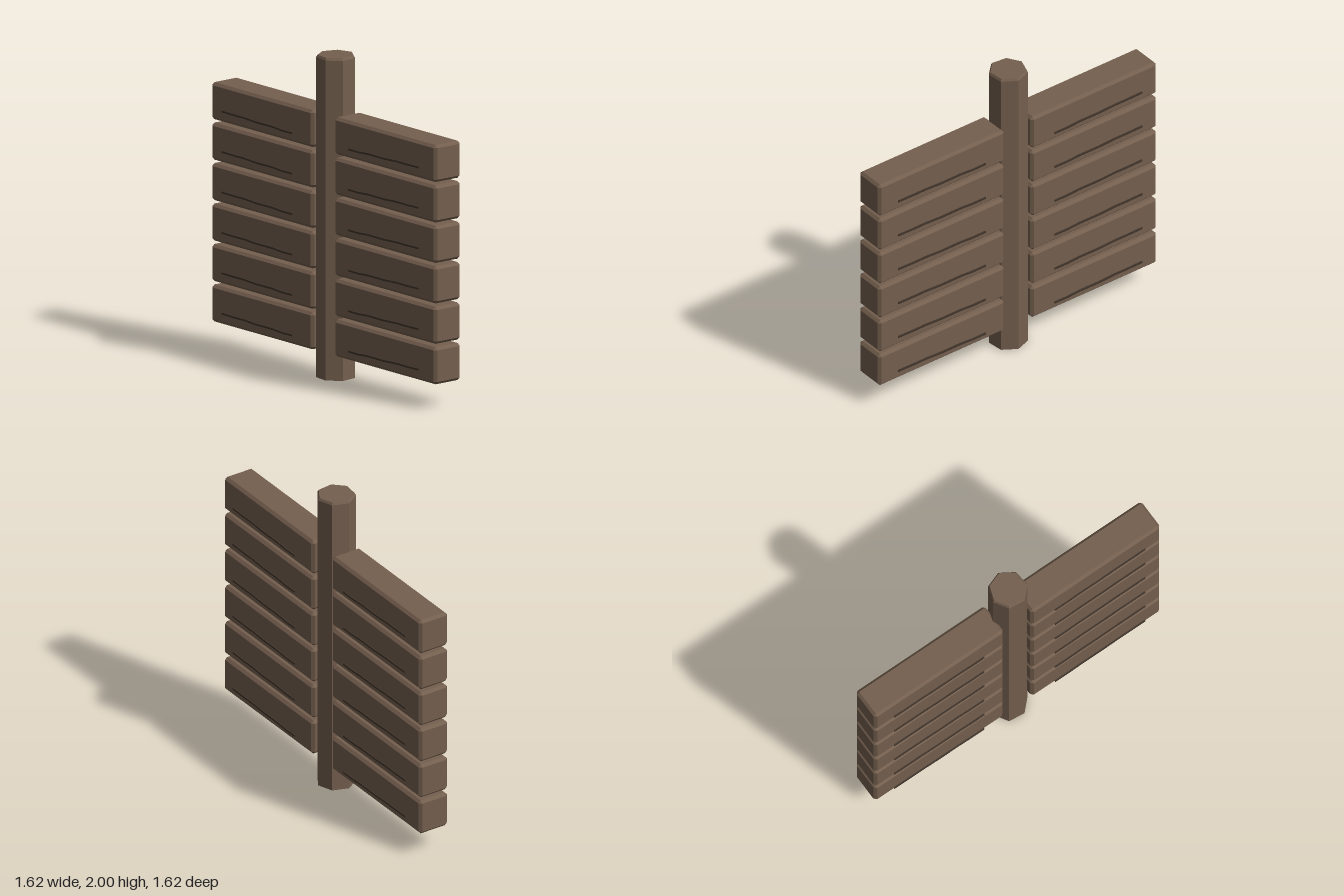
import * as THREE from 'three';
import { ConvexGeometry } from 'three/addons/geometries/ConvexGeometry.js';

const wood = new THREE.MeshStandardMaterial({ color: 0x745f4e, flatShading: true });
wood.name = 'brown wood';
const dark = new THREE.MeshStandardMaterial({ color: 0x41352b, flatShading: true });
dark.name = 'dark crack';

// Box with flat chamfers on all edges: three points at each corner
function chamferBox(w, h, d, c) {
  const points = [];
  for (const x of [-1, 1]) for (const y of [-1, 1]) for (const z of [-1, 1]) {
    for (let flat = 0; flat < 3; flat++) {
      const inset = [0, 1, 2].map((axis) => (axis === flat ? 0 : c));
      points.push(new THREE.Vector3(
        x * (w / 2 - inset[0]), y * (h / 2 - inset[1]), z * (d / 2 - inset[2])));
    }
  }
  return new ConvexGeometry(points);
}

// Thin, slightly jagged sliver rising toward the outer end
function crackGeometry() {
  const line = [[0.262, -0.006], [0.36, -0.007], [0.45, -0.001], [0.6, -0.002], [0.72, 0.004], [0.8, 0.003], [0.928, 0.005]];
  const half = 0.006;
  const outline = [
    ...line.map(([x, y]) => new THREE.Vector2(x, y - half)),
    ...line.slice().reverse().map(([x, y]) => new THREE.Vector2(x, y + half)),
  ];
  return new THREE.ExtrudeGeometry(new THREE.Shape(outline), { depth: 0.008, bevelEnabled: false })
    .translate(0, 0, -0.004);
}

export function createModel() {
  const model = new THREE.Group();
  model.name = 'plankSign';

  // Seven-sided post with a chamfered top
  const profile = [[0, 0], [0.122, 0], [0.122, 1.985], [0.113, 2], [0, 2]]
    .map(([r, y]) => new THREE.Vector2(r, y));
  const post = new THREE.Mesh(new THREE.LatheGeometry(profile, 7, Math.PI), wood);
  post.name = 'post';
  model.add(post);

  // Two diagonal wings of six planks, each plank cracked on both faces
  const plankGeo = chamferBox(0.956, 0.23, 0.206, 0.017);
  const crackGeo = crackGeometry();
  for (const [name, angle] of [['leftWing', -Math.PI / 4], ['rightWing', Math.PI * 3 / 4]]) {
    const wing = new THREE.Group();
    wing.name = name;
    wing.rotation.y = angle;
    for (let i = 0; i < 6; i++) {
      const y = 0.275 + i * 0.251;
      const plank = new THREE.Mesh(plankGeo, wood);
      plank.name = 'plank';
      plank.position.set(0.579, y, 0);
      wing.add(plank);
      for (const side of [-1, 1]) {
        const crack = new THREE.Mesh(crackGeo, dark);
        crack.name = 'crack';
        crack.position.set(0, y - 0.045, side * 0.121);
        wing.add(crack);
      }
    }
    model.add(wing);
  }
  return model;
}
